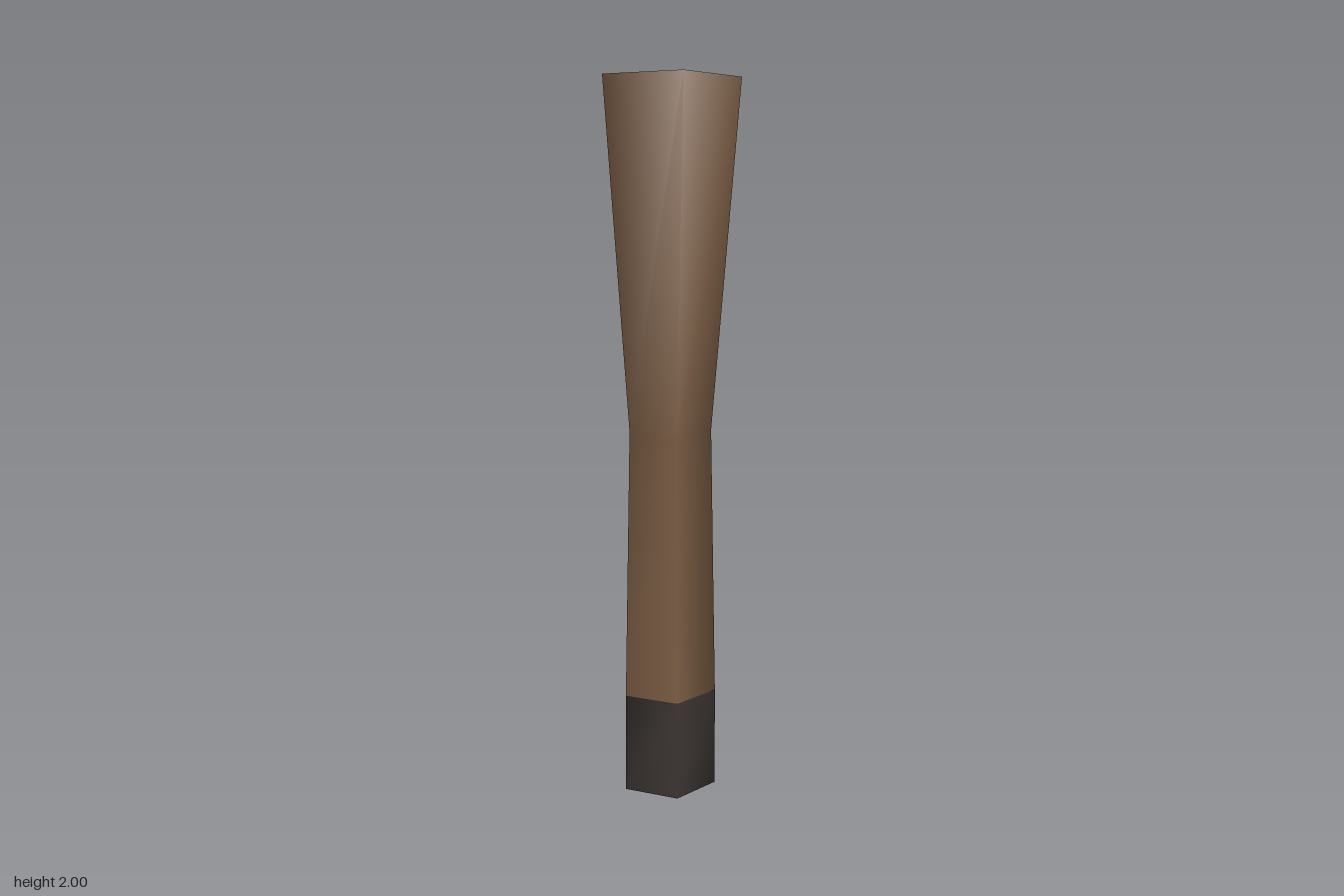
import * as THREE from 'three';

const SIDES = 5;
const CENTRE_X = 0.019; // pentagon axis, offset so the top is centred on x

// Smooth five-sided tube through [radius, y] rings, optionally closed on top
// with a cap that shares its normals with the sides.
function pentagonTube(rings, capTop) {
  const positions = [];
  const index = [];
  for (const [radius, y] of rings) {
    for (let i = 0; i < SIDES; i++) {
      const t = Math.PI + (i / SIDES) * Math.PI * 2;
      positions.push(CENTRE_X + radius * Math.cos(t), y, radius * Math.sin(t));
    }
  }
  for (let j = 0; j < rings.length - 1; j++) {
    for (let i = 0; i < SIDES; i++) {
      const a = j * SIDES + i;
      const b = j * SIDES + ((i + 1) % SIDES);
      const c = a + SIDES;
      const d = b + SIDES;
      index.push(a, c, b, b, c, d);
    }
  }
  if (capTop) {
    const o = (rings.length - 1) * SIDES;
    for (let i = 1; i < SIDES - 1; i++) index.push(o, o + i + 1, o + i);
  }
  const geometry = new THREE.BufferGeometry();
  geometry.setAttribute('position', new THREE.Float32BufferAttribute(positions, 3));
  geometry.setIndex(index);
  geometry.computeVertexNormals();
  return geometry;
}

export function createModel() {
  const group = new THREE.Group();
  group.name = 'taperedPost';
  const wood = new THREE.MeshStandardMaterial({ color: 0x7a5c43 });
  const dark = new THREE.MeshStandardMaterial({ color: 0x3a3430 });

  const add = (name, geometry, material) => {
    const mesh = new THREE.Mesh(geometry, material);
    mesh.name = name;
    group.add(mesh);
  };

  // Wooden shaft: narrow waist, flaring to the top
  add('shaft', pentagonTube([[0.137, 0.28], [0.122, 1.04], [0.2, 2]], true), wood);

  // Dark foot band and its flat underside
  add('footBand', pentagonTube([[0.138, 0], [0.137, 0.28]], false), dark);
  const sole = new THREE.CircleGeometry(0.138, SIDES, Math.PI);
  sole.rotateX(Math.PI / 2).translate(CENTRE_X, 0, 0);
  add('footSole', sole, dark);

  return group;
}
